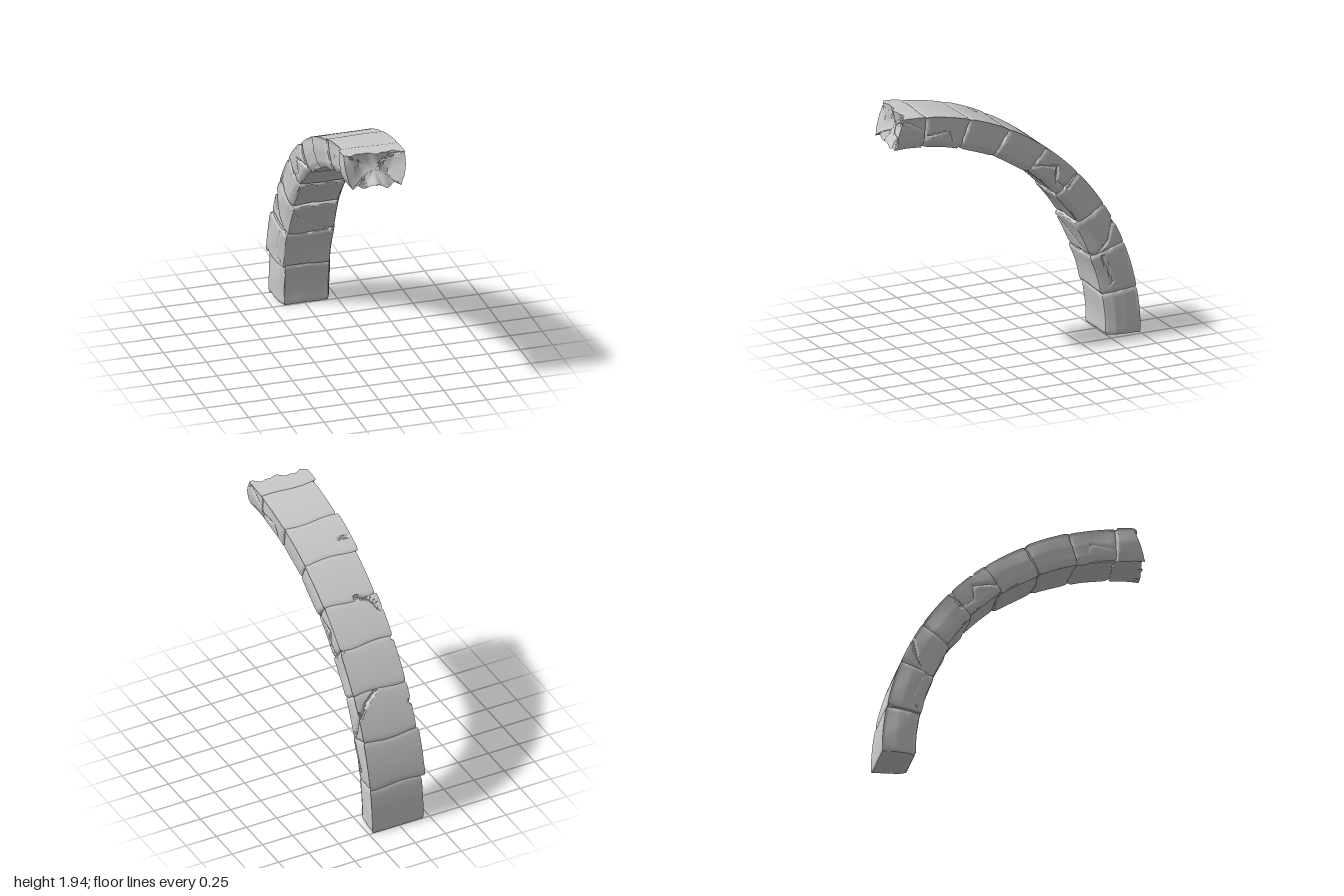
import * as THREE from 'three';
import { toCreasedNormals } from 'three/addons/utils/BufferGeometryUtils.js';

const CENTRE_Z = 0.94, OUTER = 1.945, MID = 1.82;
const RAD = Math.PI / 180;

// Joint angles along the arch, then each stone's right side, left side and inner radius
const JOINTS = [0, 11, 21.6, 32.2, 42.3, 52.4, 63.5, 73.3, 83.8, 90];
const STONES = [
  [-0.198, 0.225, 1.68], [-0.23, 0.225, 1.672], [-0.213, 0.222, 1.682],
  [-0.21, 0.225, 1.704], [-0.212, 0.22, 1.716], [-0.197, 0.225, 1.706],
  [-0.222, 0.222, 1.702], [-0.205, 0.225, 1.698], [-0.23, 0.225, 1.69],
];

// Cracks on the underside, as x / height
const UNDER_CRACKS = [
  [[-0.17, 0.86], [-0.1, 0.78], [0.02, 0.68], [0.18, 0.63]],
  [[-0.17, 0.55], [-0.05, 0.54], [0.08, 0.62]],
  [[-0.05, 0.55], [0.01, 0.46], [-0.06, 0.37]],
  [[0.0, 0.46], [0.06, 0.4]],
  [[-0.15, 1.35], [0.0, 1.31], [0.17, 1.36]],
  [[-0.1, 1.54], [0.02, 1.5], [0.16, 1.44]],
  [[-0.14, 1.21], [0.02, 1.25], [0.16, 1.19]],
];
// Cracks on the flanks, as z / height
const FLANK_CRACKS = [
  [[0.74, 1.78], [0.55, 1.8], [0.5, 1.65]],
  [[0.9, 1.92], [0.74, 1.82], [0.74, 1.72]],
  [[-0.08, 1.4], [-0.2, 1.41], [-0.33, 1.38], [-0.32, 1.27]],
  [[-0.32, 1.27], [-0.42, 1.2], [-0.5, 1.3]],
  [[-0.78, 0.92], [-0.74, 0.74], [-0.64, 0.62]],
  [[-0.7, 0.62], [-0.79, 0.42], [-0.73, 0.35]],
];
// Cracks on the upper face, as x / angle
const TOP_CRACKS = [
  [[-0.2, 49], [-0.12, 52], [-0.04, 53]],
  [[0.05, 32], [0.14, 30], [0.22, 27]],
  [[-0.2, 67], [-0.13, 67]],
];

const onArch = (x, r, a) => new THREE.Vector3(x, r * Math.sin(a), CENTRE_Z - r * Math.cos(a));

function crackLines() {
  const lines = [];
  const add = pts => pts.slice(1).forEach((p, i) => lines.push(new THREE.Line3(pts[i], p)));
  UNDER_CRACKS.forEach(c => add(c.map(([x, y]) => onArch(x, 1.69, Math.asin(y / 1.69)))));
  TOP_CRACKS.forEach(c => add(c.map(([x, a]) => onArch(x, OUTER, a * RAD))));
  for (const side of [-0.21, 0.218])
    FLANK_CRACKS.forEach(c => add(c.map(([z, y]) => new THREE.Vector3(side, y, z))));
  return lines;
}

// Smooth, repeatable unevenness in the range -1 to 1
const wobble = (x, y, z) =>
  (Math.sin(x * 17 + y * 9 + 1) + Math.sin(y * 21 - z * 13 + 2) + Math.sin(z * 19 + x * 23)) / 3;

// Outline of a stone across the arch: wide flat back, flanks tapering to the underside
function outline(left, right, inner) {
  const corners = [
    [right, OUTER], [right, 1.84], [right - 0.012, 1.755], [right - 0.046, inner],
    [left + 0.04, inner], [left + 0.012, 1.755], [left, 1.84], [left, OUTER],
  ];
  const steps = [8, 8, 6, 26, 6, 8, 8, 26];
  return corners.flatMap(([x, r], i) => {
    const [nx, nr] = corners[(i + 1) % corners.length];
    return Array.from({ length: steps[i] }, (_, j) => {
      const f = j / steps[i];
      return [x + (nx - x) * f, r + (nr - r) * f];
    });
  });
}

// Angle of a joint; the joints lean a little, and the last one is the broken end
function jointAngle(i, x, r) {
  if (i === 0) return 0;
  if (i < JOINTS.length - 1)
    return (JOINTS[i] + 0.25 * Math.sin(i * 2.3 + x * 14) + (r - MID) * 2 * Math.sin(i * 5)) * RAD;
  const depth = (OUTER - r) / 0.25;
  const hollow = Math.max(0, 1 - (x / 0.22) ** 2) * Math.sin(Math.PI * Math.min(1, Math.max(0, depth)));
  const z = 0.895 + 0.065 * depth + 0.1 * x - 0.045 * hollow
    + 0.014 * Math.sin(x * 30 + 1) + 0.008 * Math.sin(x * 67 + r * 20);
  return Math.PI / 2 + (Math.min(z, 1) - CENTRE_Z) / r;
}

function stoneGeometry(index, lines) {
  const [left, right, inner] = STONES[index];
  const ring = outline(left, right, inner);
  const width = ring.length;
  const last = index === STONES.length - 1;

  // Rows run over the lower end, along the body and over the upper end
  const rows = [];
  for (let i = 0; i < 6; i++) rows.push([0, i / 6]);
  for (let i = 0; i <= 42; i++) rows.push([i / 42, 1]);
  for (let i = 5; i >= 0; i--) rows.push([1, i / 6]);

  const near = new THREE.Vector3();
  const positions = [], indices = [];
  rows.forEach(([t, size], row) => {
    for (const [sx, sr] of ring) {
      const back = sr > OUTER - 0.001;
      // Worn edges beside each joint, chipped more on the underside and flanks
      const edge = Math.min(t, last ? 1 : 1 - t);
      const rough = wobble(sx * 2, sr * 3, index * 4 + t * 3);
      const wear = Math.exp(-edge * 32) * (back ? 0.006 : 0.011 + 0.014 * Math.max(0, rough));
      const x0 = sx * size, r0 = MID + (sr - MID) * size;
      const a = THREE.MathUtils.lerp(jointAngle(index, x0, r0), jointAngle(index + 1, x0, r0), t);
      let p = onArch(x0, r0, a);

      let sink = wear;
      if (!back) sink += 0.005 + 0.006 * wobble(p.x, p.y, p.z);
      if (size === 1) {
        for (const line of lines) {
          const d = line.closestPointToPoint(p, true, near).distanceTo(p);
          if (d < 0.016) sink = Math.max(sink, wear + 0.016 * (1 - d / 0.016) + 0.004);
        }
      }
      // Broken lower lip of the free end
      if (last && sr < 1.7) sink -= 0.02 * t ** 6 * Math.sin(sx * 38 - 1.5) - 0.012 * t ** 6;

      // Push towards the middle of the stone
      const onSide = Math.abs(sx) > 0.165;
      const dx = onSide ? Math.sign(sx) : 0;
      const dr = sr > 1.935 ? 1 : sr < inner + 0.01 ? -1 : 0;
      p = onArch((sx - dx * sink) * size, MID + (sr - dr * sink - MID) * size, a);
      positions.push(p.x, Math.max(0, p.y), p.z);
    }
    if (row === 0) return;
    for (let i = 0; i < width; i++) {
      const j = (i + 1) % width, lo = (row - 1) * width, hi = row * width;
      if (row > 1) indices.push(lo + i, hi + i, lo + j);
      else indices.push(lo + i, hi + i, hi + j);
      if (row > 1 && row < rows.length - 1) indices.push(lo + j, hi + i, hi + j);
    }
  });
  const geometry = new THREE.BufferGeometry();
  geometry.setAttribute('position', new THREE.Float32BufferAttribute(positions, 3));
  geometry.setIndex(indices);
  return toCreasedNormals(geometry, 38 * RAD);
}

export function createModel() {
  const model = new THREE.Group();
  model.name = 'brokenStoneArch';
  const stone = new THREE.MeshStandardMaterial({ color: 0xcccccc });
  const lines = crackLines();
  STONES.forEach((_, i) => {
    const mesh = new THREE.Mesh(stoneGeometry(i, lines), stone);
    mesh.name = i === 0 ? 'footStone' : i === STONES.length - 1 ? 'brokenEndStone' : `archStone${i}`;
    model.add(mesh);
  });
  return model;
}
